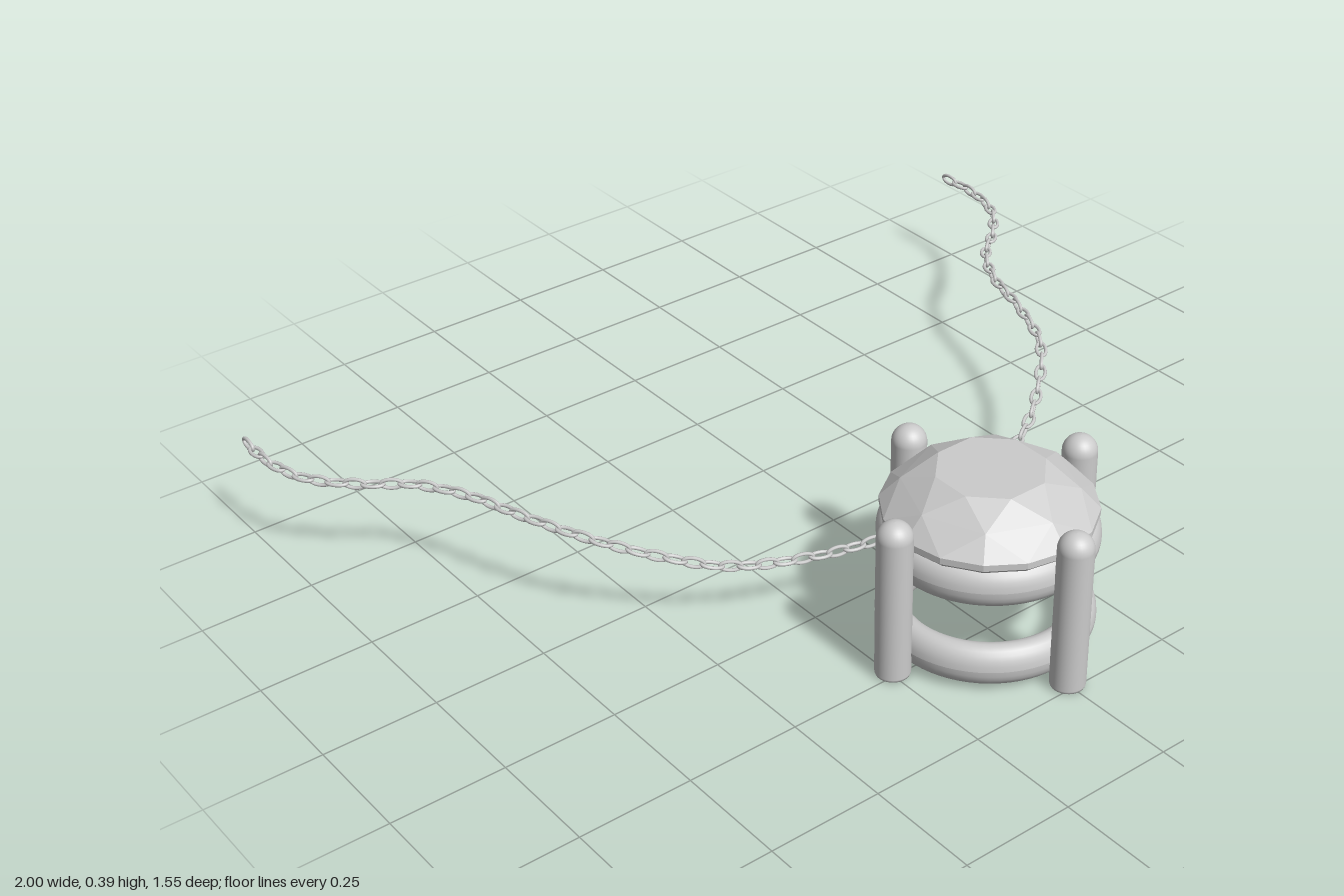
import * as THREE from 'three';
import { ConvexGeometry } from 'three/addons/geometries/ConvexGeometry.js';

const grey = new THREE.MeshStandardMaterial({ color: 0xcccccc });
const faceted = new THREE.MeshStandardMaterial({ color: 0xcccccc, flatShading: true });

function part(name, geometry, material = grey) {
  const mesh = new THREE.Mesh(geometry, material);
  mesh.name = name;
  return mesh;
}

// Circle of points for the stone's facet corners
function circle(count, radius, y, turn = 0) {
  return Array.from({ length: count }, (_, i) => {
    const a = ((i + turn) / count) * Math.PI * 2;
    return new THREE.Vector3(Math.cos(a) * radius, y, Math.sin(a) * radius);
  });
}

// Round brilliant: table, crown, girdle, pavilion and culet
function gemstone() {
  return part('gemstone', new ConvexGeometry([
    ...circle(8, 0.115, 0.388, 0.5),
    ...circle(8, 0.178, 0.352),
    ...circle(16, 0.22, 0.308),
    ...circle(16, 0.22, 0.294),
    ...circle(8, 0.118, 0.195, 0.5),
    new THREE.Vector3(0, 0.093, 0),
  ]), faceted);
}

// Band with an oval cross-section
function band(name, y) {
  const profile = [];
  for (let i = 0; i <= 24; i++) {
    const a = (-i / 24) * Math.PI * 2;
    profile.push(new THREE.Vector2(0.192 + 0.033 * Math.cos(a), 0.045 * Math.sin(a)));
  }
  const mesh = part(name, new THREE.LatheGeometry(profile.reverse(), 64));
  mesh.position.y = y;
  return mesh;
}

// Post with a domed top and a slightly eased foot
function prongGeometry() {
  const r = 0.037, top = 0.365;
  const profile = [[0, 0], [0.03, 0], [0.035, 0.003], [r, 0.009]].map(p => new THREE.Vector2(...p));
  for (let i = 0; i <= 10; i++) {
    const a = (i / 10) * Math.PI / 2;
    profile.push(new THREE.Vector2(r * Math.cos(a), top - r + r * Math.sin(a)));
  }
  return new THREE.LatheGeometry(profile, 28);
}

// Oval wire loop, long along z and flat in the xz plane
function linkGeometry() {
  const points = Array.from({ length: 12 }, (_, i) => {
    const a = (i / 12) * Math.PI * 2;
    return new THREE.Vector3(0.0105 * Math.sin(a), 0, 0.0225 * Math.cos(a));
  });
  return new THREE.TubeGeometry(new THREE.CatmullRomCurve3(points, true), 24, 0.004, 7, true);
}

// Interlocking links, alternately upright and flat along a mirrored path
function chain() {
  const group = new THREE.Group();
  group.name = 'chain';
  const half = [
    [0.984, 0.22, -0.775], [0.984, 0.22, -0.66], [0.955, 0.22, -0.56], [0.88, 0.22, -0.47],
    [0.79, 0.22, -0.395], [0.725, 0.22, -0.29], [0.68, 0.22, -0.16], [0.61, 0.212, -0.01],
    [0.51, 0.18, 0.09], [0.40, 0.15, 0.165], [0.22, 0.136, 0.235], [0.08, 0.136, 0.268],
  ];
  const mirrored = half.map(([x, y, z]) => [-x, y, z]).reverse();
  const path = new THREE.CatmullRomCurve3(
    [...half, [0, 0.138, 0.276], ...mirrored].map(p => new THREE.Vector3(...p)));
  path.arcLengthDivisions = 600;
  const length = path.getLength();
  const count = 2 * Math.round(length / 0.039 / 2) + 1;
  const geometry = linkGeometry();
  const inset = 0.0265 / length;
  for (let i = 0; i < count; i++) {
    const u = inset + (1 - 2 * inset) * i / (count - 1);
    const link = part('chainLink', geometry);
    link.position.copy(path.getPointAt(u));
    link.lookAt(link.position.clone().add(path.getTangentAt(u)));
    if (i % 2 === 0) link.rotateZ(Math.PI / 2);
    group.add(link);
  }
  return group;
}

export function createModel() {
  const model = new THREE.Group();
  model.name = 'necklace';

  const pendant = new THREE.Group();
  pendant.name = 'pendant';
  pendant.position.z = 0.49;
  pendant.add(gemstone(), band('lowerBand', 0.055), band('upperBand', 0.245));

  // Four prongs around the setting
  const prong = prongGeometry();
  for (let i = 0; i < 4; i++) {
    const mesh = part('prong', prong);
    const a = i * Math.PI / 2;
    mesh.position.set(Math.sin(a) * 0.245, 0, Math.cos(a) * 0.245);
    pendant.add(mesh);
  }

  model.add(pendant, chain());
  return model;
}
